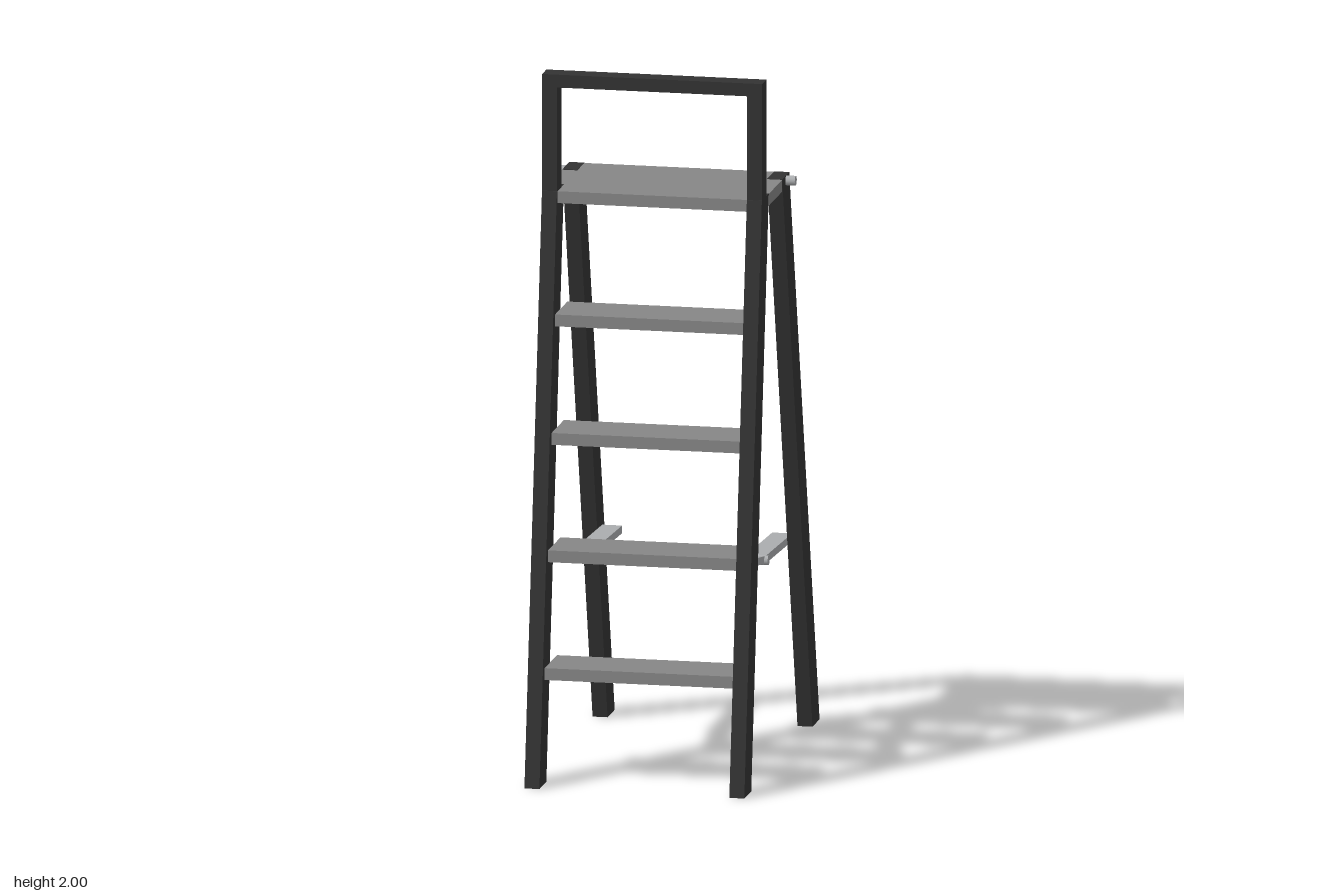
import * as THREE from 'three';

const mat = (name, color) => {
  const m = new THREE.MeshStandardMaterial({ color });
  m.name = name;
  return m;
};

export function createModel() {
  const model = new THREE.Group();
  model.name = 'stepLadder';
  const frame = mat('charcoal frame', 0x333333);
  const tread = mat('grey tread', 0x868686);
  const metal = mat('light metal', 0xacaeb0);

  const add = (name, geometry, material) => {
    const mesh = new THREE.Mesh(geometry, material);
    mesh.name = name;
    model.add(mesh);
  };
  // Box given by its limits on each axis
  const box = (name, material, x0, x1, y0, y1, z0, z1) => {
    const g = new THREE.BoxGeometry(x1 - x0, y1 - y0, z1 - z0);
    g.translate((x0 + x1) / 2, (y0 + y1) / 2, (z0 + z1) / 2);
    add(name, g, material);
  };
  // Side profile of [z, y] points, extruded across x
  const slab = (name, material, points, x, width) => {
    const shape = new THREE.Shape(points.map(([z, y]) => new THREE.Vector2(z, y)));
    const g = new THREE.ExtrudeGeometry(shape, { depth: width, bevelEnabled: false });
    g.rotateY(-Math.PI / 2).translate(x + width / 2, 0, 0);
    add(name, g, material);
  };
  // Round pin lying along x
  const pin = (name, x, y, z, r, length) => {
    const g = new THREE.CylinderGeometry(r, r, length, 16);
    g.rotateZ(Math.PI / 2).translate(x, y, z);
    add(name, g, metal);
  };

  const inner = 0.272, outer = 0.315, top = 1.665;
  const legX = (inner + outer) / 2, legW = outer - inner;

  for (const s of [-1, 1]) {
    // Slanted legs with level ends
    slab('frontLeg', frame, [[0.42, 0], [0.515, 0], [0.275, top], [0.18, top]], s * legX, legW);
    slab('rearLeg', frame, [[-0.515, 0], [-0.418, 0], [-0.004, top], [-0.1, top]], s * legX, legW);
    // Handrail post
    slab('handrailPost', frame, [[0.213, top], [0.272, top], [0.272, 2], [0.213, 2]], s * legX, legW);
    // Hinge pin through the rear leg
    pin('hingePin', s * 0.305, 1.65, -0.06, 0.014, 0.074);
    // Folding spreader in two links, with its joint pin
    slab('frontSpreader', metal, [[0.02, 0.564], [0.36, 0.62], [0.36, 0.642], [0.02, 0.586]], s * 0.2435, 0.057);
    slab('rearSpreader', metal, [[-0.345, 0.548], [0.035, 0.564], [0.035, 0.586], [-0.345, 0.57]], s * 0.2435, 0.057);
    pin('spreaderPin', s * 0.243, 0.575, 0.025, 0.014, 0.078);
    // Platform ears between the legs
    const ears = [s * inner, s * outer].sort((a, b) => a - b);
    box('platformEdge', tread, ...ears, 1.63, top - 0.001, -0.003, 0.18);
  }
  box('handrail', frame, -inner, inner, 1.963, 2, 0.213, 0.272);

  // Top platform and treads that step forward as they go down
  box('platform', tread, -inner, inner, 1.63, top - 0.001, -0.1, 0.268);
  [[0.315, 0.275], [0.643, 0.227], [0.97, 0.18], [1.3, 0.132]].forEach(([y, z]) =>
    box('step', tread, -inner, inner, y - 0.017, y + 0.017, z, z + 0.169));

  return model;
}
